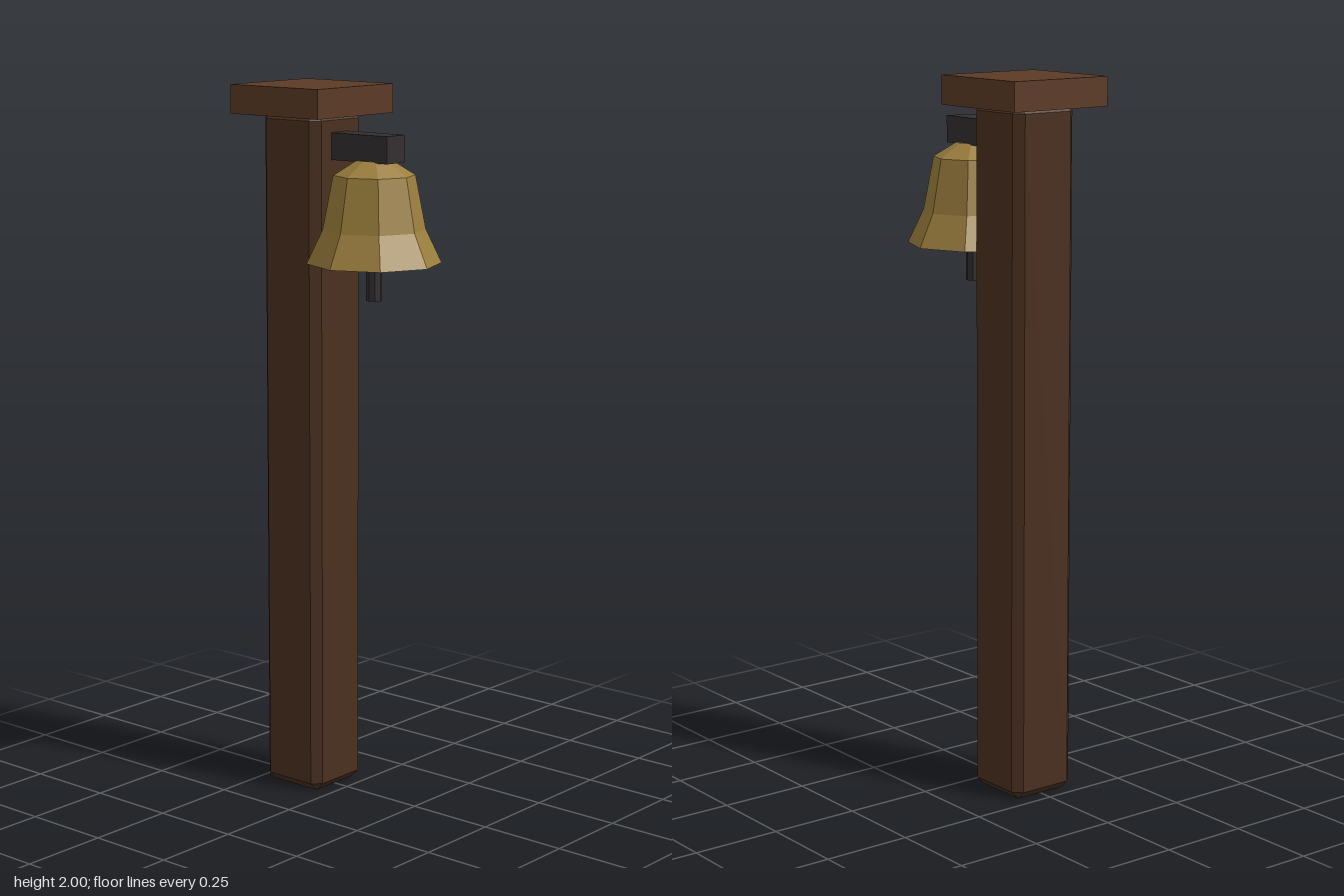
import * as THREE from 'three';
import { ConvexGeometry } from 'three/addons/geometries/ConvexGeometry.js';

const mat = (color) => new THREE.MeshStandardMaterial({ color, flatShading: true });

function add(group, name, geometry, material, x, y, z) {
  const mesh = new THREE.Mesh(geometry, material);
  mesh.name = name;
  mesh.position.set(x, y, z);
  group.add(mesh);
}

// Box with every edge cut by a single flat chamfer
function chamferedBox(w, h, d, c) {
  const points = [];
  for (const sx of [-1, 1]) for (const sy of [-1, 1]) for (const sz of [-1, 1]) {
    const x = w / 2, y = h / 2, z = d / 2;
    points.push(
      new THREE.Vector3(sx * x, sy * (y - c), sz * (z - c)),
      new THREE.Vector3(sx * (x - c), sy * y, sz * (z - c)),
      new THREE.Vector3(sx * (x - c), sy * (y - c), sz * z)
    );
  }
  return new ConvexGeometry(points);
}

export function createModel() {
  const group = new THREE.Group();
  group.name = 'bellPost';
  const postWood = mat(0x4a3020);
  const capWood = mat(0x5c3a26);
  const brass = mat(0x9c7f3e);
  const iron = mat(0x332f30);
  const postZ = -0.127, bellZ = 0.097;

  // Wooden post and its square cap
  add(group, 'post', chamferedBox(0.204, 1.932, 0.204, 0.024), postWood, 0, 0.966, postZ);
  add(group, 'cap', new THREE.BoxGeometry(0.316, 0.08, 0.316), capWood, 0, 1.96, postZ);

  // Iron arm reaching forward out of the post
  add(group, 'arm', new THREE.BoxGeometry(0.074, 0.074, 0.22), iron, 0, 1.838, 0.061);

  // Eight-sided bell, closed underneath
  const profile = [[0, 1.525], [0.185, 1.525], [0.141, 1.617], [0.112, 1.765], [0.048, 1.805], [0, 1.805]]
    .map(([r, y]) => new THREE.Vector2(r, y));
  add(group, 'bell', new THREE.LatheGeometry(profile, 8), brass, 0, 0, bellZ);

  // Clapper hanging below the rim
  add(group, 'clapper', new THREE.CylinderGeometry(0.022, 0.022, 0.15, 8), iron, 0, 1.497, bellZ);

  return group;
}
